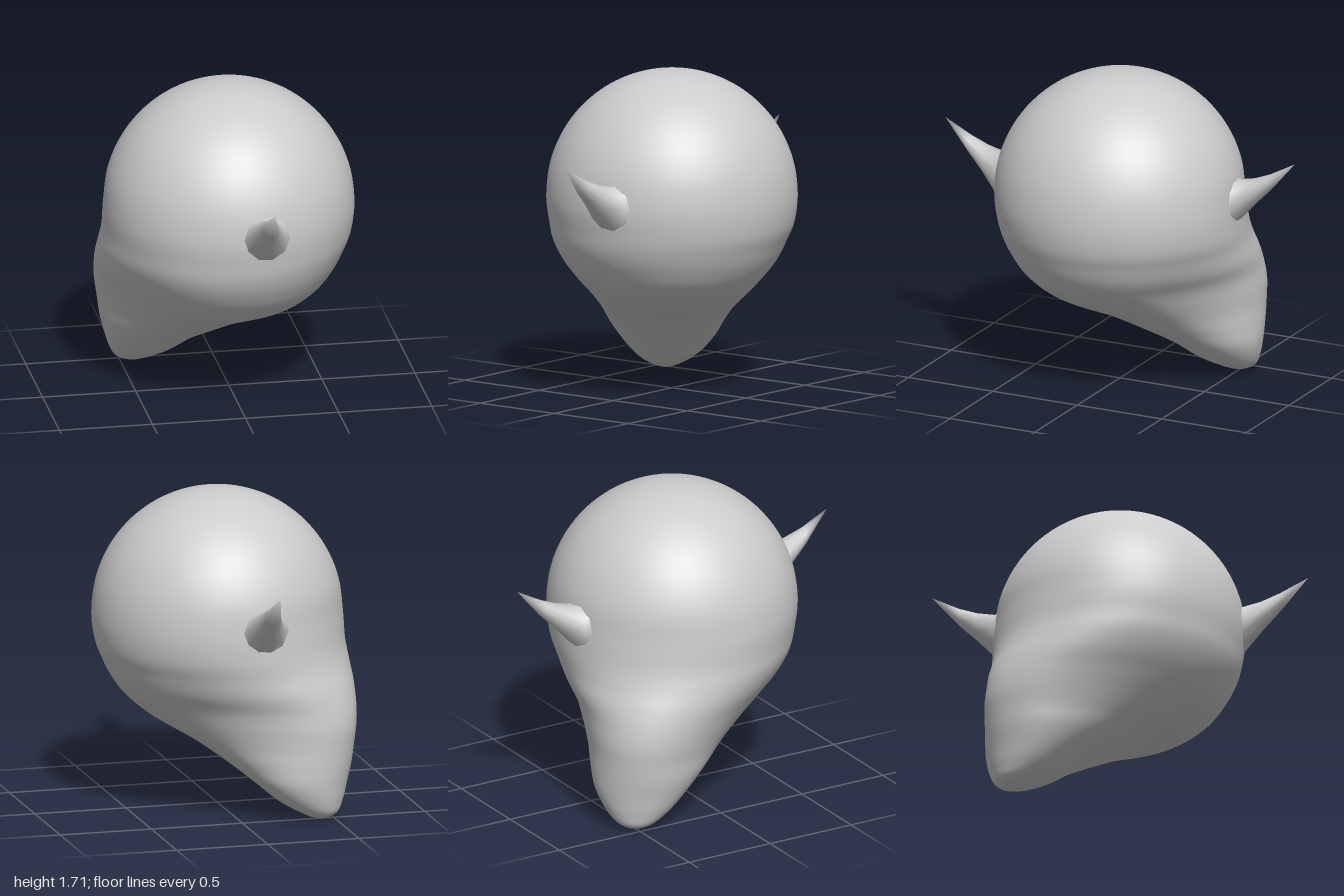
import * as THREE from 'three';
import { mergeVertices } from 'three/addons/utils/BufferGeometryUtils.js';

const R = 0.665, CY = 1.045;

// Skin a smooth surface over closed rings of points
function loft(rings) {
  const n = rings[0].length, pos = rings.flat(2), index = [];
  for (let i = 0; i < rings.length - 1; i++) {
    for (let j = 0; j < n; j++) {
      const a = i * n + j, e = i * n + (j + 1) % n;
      index.push(a, e, a + n, e, e + n, a + n);
    }
  }
  let geo = new THREE.BufferGeometry();
  geo.setAttribute('position', new THREE.Float32BufferAttribute(pos, 3));
  geo.setIndex(index);
  geo = mergeVertices(geo, 1e-4);
  geo.computeVertexNormals();
  return geo;
}

// Ball above, drawn down towards the back right into a blunt drooping tail.
// Key: height, inner reach, widest point, outer reach, half width, sideways shift
function bodyGeometry() {
  const keys = [];
  for (let deg = -15; deg <= 90; deg += 15) {
    const t = THREE.MathUtils.degToRad(deg), r = R * Math.sin(t);
    keys.push([CY + R * Math.cos(t), -r, 0, r, r, 0]);
  }
  keys.push(
    [0.90, -0.649, 0, 0.685, 0.649, 0],
    [0.80, -0.618, 0, 0.715, 0.618, -0.01],
    [0.70, -0.568, 0, 0.758, 0.568, -0.01],
    [0.60, -0.494, 0.02, 0.79, 0.494, -0.01],
    [0.50, -0.36, 0.15, 0.805, 0.42, 0],
    [0.40, -0.12, 0.30, 0.80, 0.355, 0.01],
    [0.30, 0.08, 0.43, 0.79, 0.307, 0.02],
    [0.20, 0.265, 0.52, 0.775, 0.255, 0.035],
    [0.10, 0.41, 0.59, 0.76, 0.18, 0.04],
    [0.03, 0.55, 0.645, 0.735, 0.095, 0.04],
    [0.00, 0.65, 0.65, 0.65, 0, 0.04],
    [0.03, 0.735, 0.645, 0.55, -0.095, 0.04]
  );
  const curve = new THREE.CubicInterpolant(keys.map((k, i) => i), keys.flat(), 6);
  const rings = [], STEPS = 8, SIDES = 72;
  for (let s = STEPS; s <= (keys.length - 2) * STEPS; s++) {
    const [y, u0, c, u1, b, shift] = [...curve.evaluate(s / STEPS)];
    const ring = [];
    for (let j = 0; j < SIDES; j++) {
      const a = (j / SIDES) * Math.PI * 2, k = Math.cos(a);
      const u = c + k * (k > 0 ? u1 - c : c - u0);
      const w = b * Math.sin(a) + shift;
      ring.push([(w - u) * Math.SQRT1_2, y, (-w - u) * Math.SQRT1_2]);
    }
    rings.push(ring);
  }
  return loft(rings);
}

// Upturned thorn with a flared foot: z, centre x, half width, bottom, top
function spikeGeometry() {
  const keys = [
    [0.55, 0.08, 0.20, 0.86, 1.24],
    [0.65, 0.08, 0.12, 0.94, 1.18],
    [0.75, 0.075, 0.075, 1.05, 1.205],
    [0.85, 0.07, 0.045, 1.15, 1.245],
    [1.00, 0.07, 0, 1.325, 1.325]
  ];
  return loft(keys.map(([z, x, w, y0, y1]) =>
    Array.from({ length: 10 }, (_, j) => {
      const a = (j / 10) * Math.PI * 2;
      return [x + w * Math.cos(a), (y0 + y1) / 2 + ((y1 - y0) / 2) * Math.sin(a), z];
    })));
}

export function createModel() {
  const model = new THREE.Group();
  const material = new THREE.MeshStandardMaterial({ color: 0xcccccc });
  const add = (name, geo, turn = 0) => {
    const mesh = new THREE.Mesh(geo, material);
    mesh.name = name;
    mesh.rotation.y = turn;
    model.add(mesh);
  };
  add('body', bodyGeometry());
  const spike = spikeGeometry();
  add('frontSpike', spike);
  add('backSpike', spike, Math.PI);
  return model;
}
